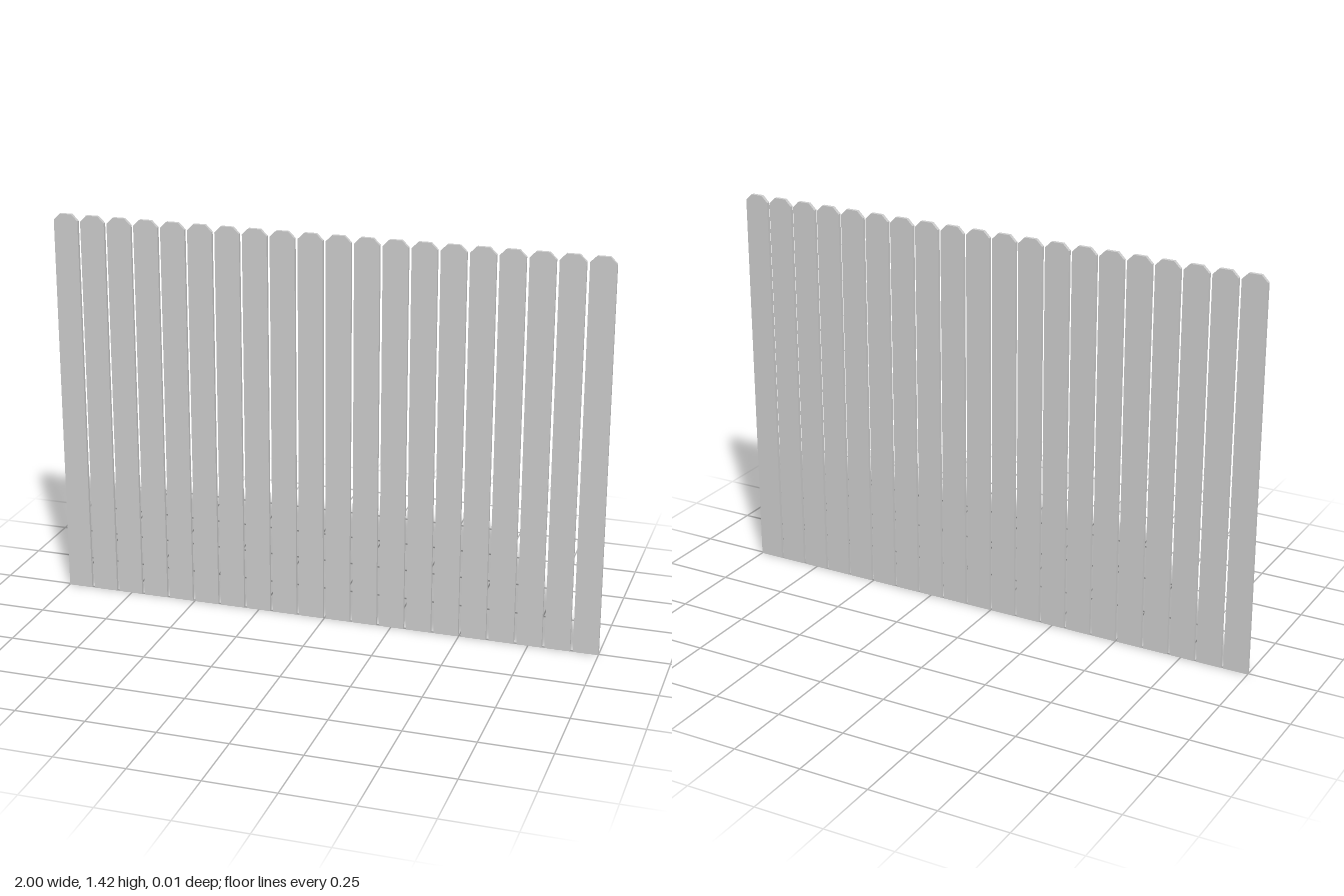
import * as THREE from 'three';

const COUNT = 20;
const WIDTH = 0.09;
const HEIGHT = 1.424;
const THICKNESS = 0.013;
const CHAMFER = 0.023;

// Plank outline with both top corners cut off
function plankGeometry() {
  const h = WIDTH / 2;
  const shape = new THREE.Shape();
  shape.moveTo(-h, 0);
  shape.lineTo(h, 0);
  shape.lineTo(h, HEIGHT - CHAMFER);
  shape.lineTo(h - CHAMFER, HEIGHT);
  shape.lineTo(-h + CHAMFER, HEIGHT);
  shape.lineTo(-h, HEIGHT - CHAMFER);
  shape.closePath();
  const geometry = new THREE.ExtrudeGeometry(shape, { depth: THICKNESS, bevelEnabled: false });
  return geometry.translate(0, 0, -THICKNESS / 2);
}

export function createModel() {
  const fence = new THREE.Group();
  fence.name = 'fencePanel';
  const material = new THREE.MeshStandardMaterial({ color: 0xcccccc, flatShading: true });
  const geometry = plankGeometry();
  const pitch = (2 - WIDTH) / (COUNT - 1);

  // Row of evenly spaced planks
  for (let i = 0; i < COUNT; i++) {
    const plank = new THREE.Mesh(geometry, material);
    plank.name = `plank${i + 1}`;
    plank.position.x = -1 + WIDTH / 2 + i * pitch;
    fence.add(plank);
  }
  return fence;
}
